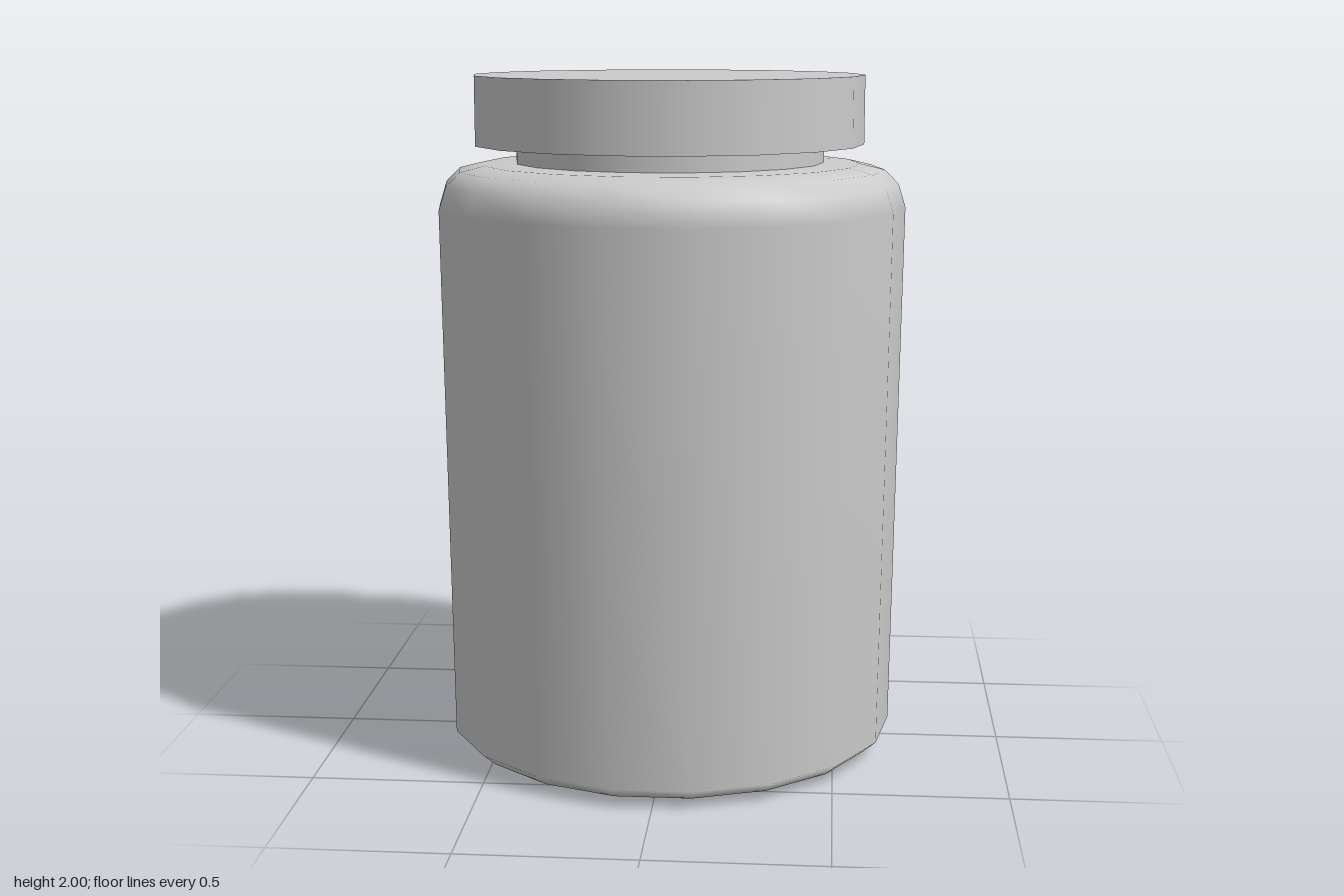
import * as THREE from 'three';

const SIDES = 18;
const material = new THREE.MeshStandardMaterial({ color: 0xcccccc });

// Upright disc-like part between two heights, with a corner on +x
function disc(name, radius, y0, y1, x, z) {
  const geometry = new THREE.CylinderGeometry(radius, radius, y1 - y0, SIDES);
  geometry.rotateY(Math.PI / 2);
  const mesh = new THREE.Mesh(geometry, material);
  mesh.name = name;
  mesh.position.set(x, (y0 + y1) / 2, z);
  return mesh;
}

export function createModel() {
  const group = new THREE.Group();
  group.name = 'jar';

  // Body: slightly bulging base, tapered wall, rounded shoulder
  const profile = [
    [0, 0], [0.628, 0.02], [0.668, 0.055],
    [0.688, 1.62], [0.667, 1.687], [0.626, 1.728], [0.555, 1.745], [0.4, 1.75],
    [0, 1.75],
  ].map(([r, y]) => new THREE.Vector2(r, y));
  const body = new THREE.Mesh(
    new THREE.LatheGeometry(profile, SIDES, Math.PI / 2), material);
  body.name = 'body';
  group.add(body);

  // Neck and lid, sitting very slightly off the body's axis
  group.add(disc('neck', 0.453, 1.72, 1.81, -0.004, 0));
  group.add(disc('lid', 0.573, 1.8, 2, -0.008, -0.01));

  return group;
}
